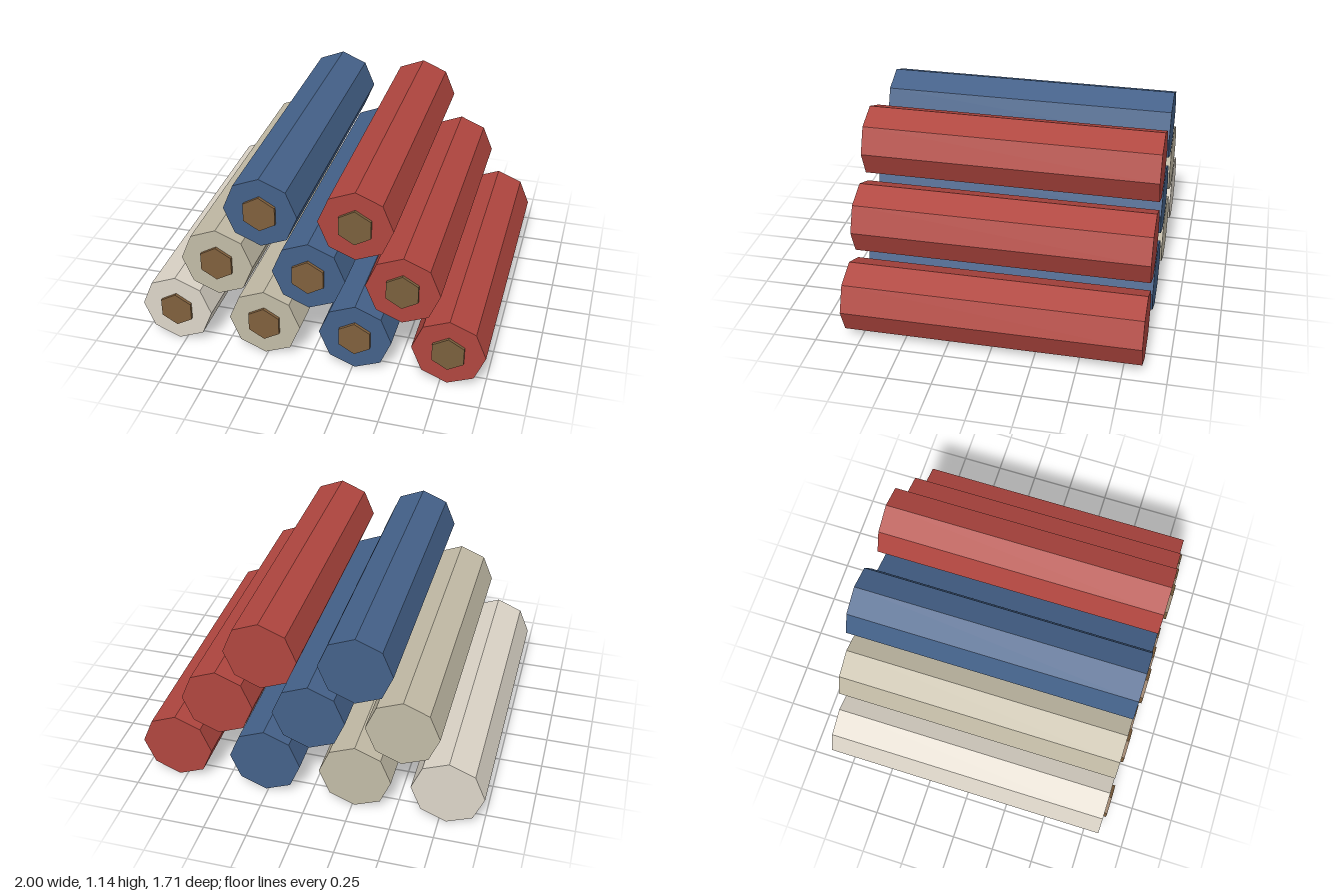
import * as THREE from 'three';

const RADIUS = 0.208, SPACING = 0.528, ROW_HEIGHT = 0.364;
const BACK = -0.857, ROLL_FRONT = 0.839, CORE_FRONT = 0.857;

const material = (color) => new THREE.MeshStandardMaterial({ color, flatShading: true });

// Prism lying along z, with a corner pointing straight up
function prism(radius, sides, zBack, zFront) {
  const geometry = new THREE.CylinderGeometry(radius, radius, zFront - zBack, sides);
  geometry.rotateX(Math.PI / 2);
  geometry.translate(0, 0, (zBack + zFront) / 2);
  return geometry;
}

export function createModel() {
  const group = new THREE.Group();
  group.name = 'rollStack';

  const cream = material(0xdcd5c8);
  const beige = material(0xc2bba6);
  const blue = material(0x446189);
  const red = material(0xb0463f);
  const brown = material(0x80603d);
  const olive = material(0x7a603d);

  const rollGeometry = prism(RADIUS, 8, BACK, ROLL_FRONT);
  const coreGeometry = prism(0.103, 6, ROLL_FRONT - 0.02, CORE_FRONT);

  // Rows from the bottom up, each listed from -x to +x
  const rows = [
    [cream, beige, blue, red],
    [beige, blue, red],
    [blue, red],
  ];

  rows.forEach((row, level) => {
    row.forEach((cloth, i) => {
      const bolt = new THREE.Group();
      bolt.name = `bolt${level + 1}_${i + 1}`;
      bolt.position.set((i - (row.length - 1) / 2) * SPACING, RADIUS + level * ROW_HEIGHT, 0);

      const roll = new THREE.Mesh(rollGeometry, cloth);
      roll.name = 'roll';
      // Core end standing slightly proud of the front
      const core = new THREE.Mesh(coreGeometry, cloth === red ? olive : brown);
      core.name = 'core';

      bolt.add(roll, core);
      group.add(bolt);
    });
  });

  return group;
}
